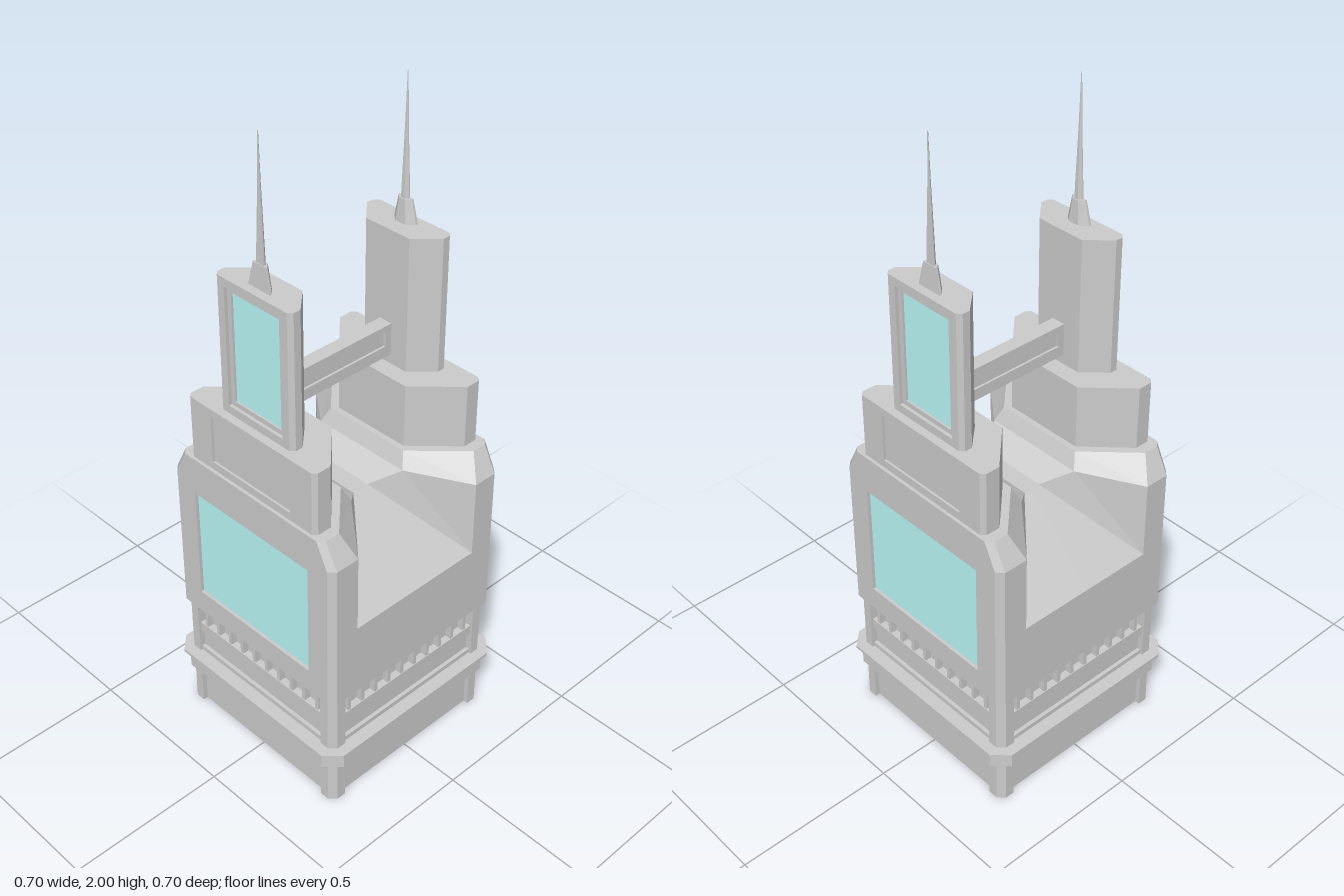
import * as THREE from 'three';

const grey = new THREE.MeshStandardMaterial({ color: 0xcccccc, flatShading: true });
const glass = new THREE.MeshStandardMaterial({ color: 0xb9f8f6, flatShading: true });

function add(parent, name, geometry, material = grey) {
  const mesh = new THREE.Mesh(geometry, material);
  mesh.name = name;
  parent.add(mesh);
  return mesh;
}

function box(parent, name, [w, h, d], [x, y, z], material) {
  return add(parent, name, new THREE.BoxGeometry(w, h, d).translate(x, y, z), material);
}

// Flat polygons [outward hint, points], each turned so that it faces its hint
function facets(polys) {
  const out = [];
  const n = new THREE.Vector3(), a = new THREE.Vector3(), b = new THREE.Vector3();
  for (const [hint, pts] of polys) {
    const v = pts.map((p) => new THREE.Vector3(...p));
    n.set(0, 0, 0);
    for (let i = 1; i < v.length - 1; i++) {
      n.add(a.subVectors(v[i], v[0]).cross(b.subVectors(v[i + 1], v[0])));
    }
    if (n.dot(new THREE.Vector3(...hint)) < 0) v.reverse();
    for (let i = 1; i < v.length - 1; i++) {
      for (const p of [v[0], v[i], v[i + 1]]) out.push(p.x, p.y, p.z);
    }
  }
  const geometry = new THREE.BufferGeometry();
  geometry.setAttribute('position', new THREE.Float32BufferAttribute(out, 3));
  geometry.computeVertexNormals();
  return geometry;
}

// Convex solid between two plan rings of [x, z]; one side may be left open
function solid(ring0, y0, ring1, y1, open = -1) {
  const low = ring0.map(([x, z]) => [x, y0, z]);
  const high = ring1.map(([x, z]) => [x, y1, z]);
  const cx = ring0.reduce((s, p) => s + p[0], 0) / ring0.length;
  const cz = ring0.reduce((s, p) => s + p[1], 0) / ring0.length;
  const polys = [[[0, -1, 0], low], [[0, 1, 0], high]];
  low.forEach((p, i) => {
    if (i === open) return;
    const j = (i + 1) % low.length;
    const hint = [(p[0] + low[j][0]) / 2 - cx, 0, (p[2] + low[j][2]) / 2 - cz];
    polys.push([hint, [p, low[j], high[j], high[i]]]);
  });
  return facets(polys);
}

const rect = (w, y0, y1) => [[-w, y0], [w, y0], [w, y1], [-w, y1]];

// Plate with a rectangular opening; outline in (z, y), outer face at x
function framePlate(outline, hole, x, depth) {
  const vec = (pts) => pts.map((p) => new THREE.Vector2(...p));
  const shape = new THREE.Shape(vec(outline));
  shape.holes.push(new THREE.Path(vec(hole)));
  return new THREE.ExtrudeGeometry(shape, { depth, bevelEnabled: false })
    .rotateY(-Math.PI / 2).translate(x, 0, 0);
}

// Square with cut corners
function octagon(r, c) {
  const k = r - c;
  return [[r, -k], [r, k], [k, r], [-k, r], [-r, k], [-r, -k], [-k, -r], [k, -r]];
}

// Plan of a tower stage: long outer side (edge 0), slanted inner corners
function stagePlan(outer, zMax, chamfer, diagonal, inner, zInner) {
  const half = [[outer, zMax - chamfer], [outer - chamfer, zMax], [diagonal, zMax], [inner, zInner]];
  return [[outer, chamfer - zMax], ...half, ...half.slice(1).reverse().map(([x, z]) => [x, -z])];
}

// One side of the base, facing +x
function baseSide() {
  const side = new THREE.Group();
  side.name = 'baseSide';
  box(side, 'lowerWall', [0.02, 0.15, 0.55], [0.29, 0.075, 0], grey);
  for (const [y0, y1] of [[0.2, 0.225], [0.285, 0.32]]) {
    box(side, 'band', [0.025, y1 - y0, 0.55], [0.295, (y0 + y1) / 2, 0]);
  }
  box(side, 'panel', [0.012, 0.06, 0.55], [0.29, 0.255, 0]);
  for (let i = 0; i < 10; i++) {
    box(side, 'mullion', [0.022, 0.08, 0.012], [0.294, 0.36, (i - 4.5) * 0.053]);
  }
  add(side, 'cornerPillar', solid(
    [[0.265, 0.265], [0.315, 0.265], [0.315, 0.295], [0.295, 0.315], [0.265, 0.315]], 0,
    [[0.265, 0.265], [0.315, 0.265], [0.315, 0.295], [0.295, 0.315], [0.265, 0.315]], 0.4));
  return side;
}

// Half of the notched main block on the +x side
function mainBlock() {
  const S = 0.325, C = 0.307, K = 0.305, L = 0.88, T = 0.96;
  const quarter = [
    [[0, 0, 1], [[0, 0.4, S], [C, 0.4, S], [C, 0.635, S], [0, 0.635, S]]],
    [[0, 0, 1], [[0.23, 0.635, S], [C, 0.635, S], [C, L, S], [0.23, L, S]]],
    [[1, 0, 1], [[C, 0.4, S], [S, 0.4, K], [S, L, K], [C, L, S]]],
    // sloping shoulders
    [[1, 1, 1], [[C, L, S], [S, L, K], [S, T, 0.265], [C, T, 0.283]]],
    [[0, 1, 1], [[0.23, L, S], [C, L, S], [C, T, 0.283], [0.26, T, 0.283]]],
    [[-1, 1, 1], [[0.23, L, S], [0.26, T, 0.283], [0.12, T, 0.145], [0.1, 0.912, 0.165]]],
    // notch wall and ramp
    [[-1, 0, 1], [[0.23, 0.635, S], [0.23, L, S], [0.1, 0.912, 0.165], [0.028, 0.867, 0.1]]],
    [[0, 1, 0], [[0, 0.635, S], [0.23, 0.635, S], [0.028, 0.867, 0.1], [0, 0.867, 0.1]]],
    // valley between the towers
    [[-1, 1, 0], [[0.12, T, 0.145], [0.1, 0.912, 0.165], [0.1, 0.912, 0], [0.12, T, 0]]],
    [[-1, 1, 0], [[0.1, 0.912, 0.165], [0.028, 0.867, 0.1], [0.028, 0.867, 0], [0.1, 0.912, 0]]],
    [[0, 1, 0], [[0, 0.867, 0], [0.028, 0.867, 0], [0.028, 0.867, 0.1], [0, 0.867, 0.1]]],
    [[0, 1, 0], [[0.12, T, 0], [0.12, T, 0.145], [0.26, T, 0.283], [C, T, 0.283], [S, T, 0.265], [S, T, 0]]],
    [[0, -1, 0], [[0, 0.4, 0], [0, 0.4, S], [C, 0.4, S], [S, 0.4, K], [S, 0.4, 0]]],
  ];
  const flip = ([x, y, z]) => [x, y, -z];
  return facets([...quarter, ...quarter.map(([h, pts]) => [flip(h), pts.map(flip)])]);
}

// Everything on the +x side above the base
function towerHalf() {
  const half = new THREE.Group();
  half.name = 'towerHalf';

  add(half, 'mainBlock', mainBlock());
  const side = [[-0.305, 0.4], [0.305, 0.4], [0.305, 0.88], [0.265, 0.96], [-0.265, 0.96], [-0.305, 0.88]];
  add(half, 'mainWindowFrame', framePlate(side, rect(0.23, 0.475, 0.84), 0.325, 0.012));
  box(half, 'mainWindow', [0.004, 0.375, 0.47], [0.313, 0.6575, 0], glass);

  const middle = stagePlan(0.315, 0.25, 0.012, 0.258, 0.138, 0.13);
  add(half, 'middleStage', solid(middle, 0.96, middle, 1.16, 0));
  add(half, 'middlePanelFrame', framePlate(rect(0.238, 0.96, 1.16), rect(0.155, 0.985, 1.135), 0.315, 0.01));
  box(half, 'middlePanel', [0.004, 0.16, 0.32], [0.306, 1.06, 0]);

  const upper = stagePlan(0.29, 0.142, 0.012, 0.255, 0.19, 0.08);
  add(half, 'upperStage', solid(upper, 1.16, upper, 1.575, 0));
  add(half, 'upperWindowSurround', framePlate(rect(0.13, 1.16, 1.575), rect(0.105, 1.185, 1.55), 0.29, 0.01));
  add(half, 'upperWindowFrame', framePlate(rect(0.115, 1.175, 1.56), rect(0.09, 1.2, 1.535), 0.28, 0.008));
  box(half, 'upperWindow', [0.004, 0.35, 0.19], [0.272, 1.3675, 0], glass);

  // Stepped spire with the same slanted plan as the tower
  const plan = [[0.012, -0.04], [0.012, 0.04], [0.004, 0.04], [-0.015, 0.018], [-0.015, -0.018], [0.004, -0.04]];
  const scaled = (s, sz = s) => plan.map(([x, z]) => [0.252 + x * s, z * sz]);
  add(half, 'spireBase', solid(scaled(1), 1.575, scaled(0.7, 0.6), 1.645));
  add(half, 'spireShaft', solid(scaled(0.5, 0.36), 1.645, scaled(0.2, 0.13), 1.86));
  add(half, 'spireTip', solid(scaled(0.2, 0.13), 1.86, scaled(0.05, 0.03), 2));
  return half;
}

export function createModel() {
  const model = new THREE.Group();
  model.name = 'twinTowerBuilding';

  // Base
  box(model, 'baseCore', [0.57, 0.4, 0.57], [0, 0.2, 0]);
  for (let i = 0; i < 4; i++) {
    const side = baseSide();
    side.rotation.y = (i * Math.PI) / 2;
    model.add(side);
  }
  add(model, 'ledge', solid(octagon(0.335, 0.045), 0.145, octagon(0.335, 0.045), 0.2));
  add(model, 'ledgeRim', solid(octagon(0.348, 0.045), 0.2, octagon(0.348, 0.045), 0.21));

  // Twin towers
  for (const turn of [0, Math.PI]) {
    const half = towerHalf();
    half.rotation.y = turn;
    model.add(half);
  }

  // Bridge with a recessed panel on both faces
  const bridge = new THREE.Group();
  bridge.name = 'bridge';
  box(bridge, 'bridgeCore', [0.39, 0.1, 0.03], [0, 1.24, 0]);
  for (const turn of [Math.PI / 2, -Math.PI / 2]) {
    add(bridge, 'bridgeFrame', framePlate(rect(0.195, 1.19, 1.29), rect(0.168, 1.225, 1.27), 0.022, 0.007).rotateY(turn));
  }
  model.add(bridge);
  return model;
}
